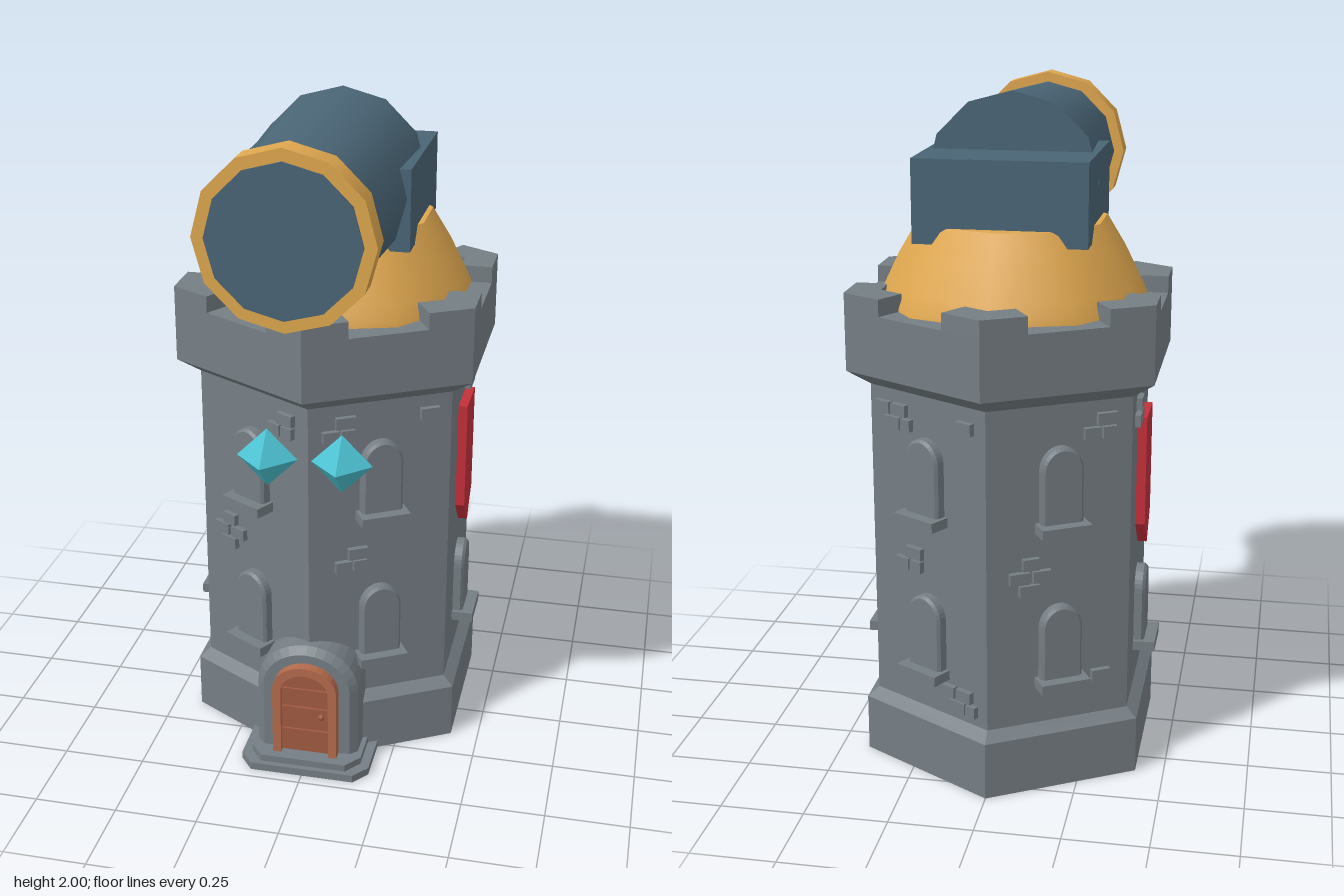
import * as THREE from 'three';

const mat = (name, color) => {
  const m = new THREE.MeshStandardMaterial({ color });
  m.name = name;
  return m;
};

// Faceted normals for hard-edged parts
function flat(geo) {
  const g = geo.index ? geo.toNonIndexed() : geo;
  g.computeVertexNormals();
  return g;
}

// Arch outline: straight sides, elliptical head, standing on y = 0
function arch(half, top, rise, Type = THREE.Shape, base = 0) {
  const s = new Type();
  s.moveTo(-half, base);
  s.lineTo(half, base);
  s.lineTo(half, top - rise);
  s.absellipse(0, top - rise, half, rise, 0, Math.PI, false, 0);
  s.lineTo(-half, base);
  return s;
}

export function createModel() {
  const stone = mat('stone', 0x757e84);
  const gold = mat('gold', 0xdfa74f);
  const steel = mat('steel blue', 0x4a6576);
  const red = mat('banner red', 0xc42f3a);
  const crystal = mat('crystal cyan', 0x4cc2d2);
  const wood = mat('door wood', 0xa05a42);
  const trim = mat('door trim', 0xb36a4c);

  const model = new THREE.Group();
  model.name = 'observatoryTower';
  const tower = new THREE.Group();
  tower.name = 'tower';
  tower.position.z = -0.097;
  model.add(tower);

  function add(parent, name, geo, material, x = 0, y = 0, z = 0) {
    const m = new THREE.Mesh(geo, material);
    m.name = name;
    m.position.set(x, y, z);
    parent.add(m);
    return m;
  }
  const box = (w, h, d) => new THREE.BoxGeometry(w, h, d);
  const extrude = (shape, depth, bevel = 0) => new THREE.ExtrudeGeometry(shape, {
    depth: depth - bevel, curveSegments: 8, bevelEnabled: bevel > 0,
    bevelSize: bevel, bevelThickness: bevel, bevelOffset: -bevel, bevelSegments: 1,
  });
  const points = (list) => list.map(([x, y]) => new THREE.Vector2(x, y));

  // Hexagonal walls with plinth and flared parapet
  add(tower, 'walls', flat(new THREE.LatheGeometry(points([
    [0, 0], [0.479, 0], [0.479, 0.175], [0.442, 0.203], [0.442, 1.175],
    [0.514, 1.22], [0.514, 1.4], [0, 1.4],
  ]), 6)), stone);

  // Corner battlements
  const merlon = extrude(new THREE.Shape(points([
    [0, 0.514], [-0.119, 0.4453], [-0.071, 0.363], [0, 0.404], [0.071, 0.363], [0.119, 0.4453],
  ])), 0.05);
  merlon.rotateX(-Math.PI / 2);
  for (let i = 0; i < 6; i++) {
    add(tower, 'battlement', merlon, stone, 0, 1.4, 0).rotation.y = i * Math.PI / 3;
  }

  // Ten-sided dome
  add(tower, 'dome', new THREE.LatheGeometry(points([
    [0.403, 1.38], [0.4, 1.41], [0.378, 1.455], [0.334, 1.545], [0.278, 1.638],
  ]), 10), gold);
  add(tower, 'domeTop', new THREE.CylinderGeometry(0.278, 0.278, 0.004, 10), gold, 0, 1.636, 0);

  // Windows
  const frameShape = arch(0.063, 0.235, 0.07);
  frameShape.holes.push(arch(0.042, 0.21, 0.05, THREE.Path, 0.005));
  const frameGeo = extrude(frameShape, 0.032, 0.008);
  const glassGeo = extrude(arch(0.045, 0.213, 0.05), 0.006);
  function addWindow(face, y) {
    const w = new THREE.Group();
    w.name = 'window';
    w.position.y = y;
    face.add(w);
    add(w, 'windowFrame', frameGeo, stone);
    add(w, 'windowGlass', glassGeo, steel);
    add(w, 'windowSill', box(0.15, 0.03, 0.066), stone, 0, -0.005, 0.033);
  }

  // Raised bricks: offsets and widths for each cluster type
  const clusters = {
    one: [[0, 0, 0.058]],
    three: [[0.02, 0.022, 0.06], [-0.025, -0.018, 0.05], [0.027, -0.018, 0.042]],
    four: [[-0.035, 0.02, 0.06], [0.03, 0.02, 0.055], [0.005, -0.02, 0.06], [0.058, -0.02, 0.035]],
    five: [[0, 0.04, 0.05], [-0.034, 0, 0.06], [0.034, 0, 0.055], [-0.005, -0.04, 0.06]],
  };
  function addBricks(face, type, u, y) {
    for (const [dx, dy, w] of clusters[type]) {
      add(face, 'brick', box(w, 0.035, 0.03), stone, u + dx, y + dy, 0.002);
    }
  }

  const bannerGeo = extrude(new THREE.Shape(points([
    [-0.08, 1.07], [-0.08, 0.735], [0, 0.65], [0.08, 0.735], [0.08, 1.07],
  ])), 0.028);

  // Six wall faces: angle and brick clusters
  const faces = [
    [30, ['three', -0.09, 0.67], ['three', -0.13, 1.1], ['one', 0.15, 1.12]],
    [90, ['three', 0.11, 1.1]],
    [150, ['four', -0.13, 1.1], ['one', 0.15, 1.115], ['three', -0.07, 0.67], ['four', 0.11, 0.27]],
    [-150, ['five', -0.09, 0.67], ['three', 0.12, 1.1], ['one', 0.13, 0.33]],
    [-90, ['three', -0.11, 1.1]],
    [-30, ['five', -0.1, 0.68], ['three', 0.12, 1.1]],
  ];
  for (const [deg, ...bricks] of faces) {
    const a = deg * Math.PI / 180;
    const face = new THREE.Group();
    face.name = 'wallFace';
    face.rotation.y = a;
    face.position.set(Math.sin(a) * 0.383, 0, Math.cos(a) * 0.383);
    tower.add(face);
    addWindow(face, 0.34);
    if (Math.abs(deg) === 90) add(face, 'banner', bannerGeo, red);
    else addWindow(face, 0.82);
    for (const b of bricks) addBricks(face, ...b);
  }

  // Doorway on the front corner
  const door = new THREE.Group();
  door.name = 'doorway';
  tower.add(door);
  add(door, 'doorSurround', extrude(arch(0.157, 0.405, 0.14), 0.235, 0.022), stone, 0, 0, 0.25);
  const trimShape = arch(0.1, 0.355, 0.085);
  trimShape.holes.push(arch(0.074, 0.328, 0.062, THREE.Path, 0.01));
  add(door, 'doorTrim', extrude(trimShape, 0.04), trim, 0, 0, 0.477);
  add(door, 'doorPanel', extrude(arch(0.076, 0.33, 0.063), 0.02), wood, 0, 0, 0.477);
  for (const y of [0.12, 0.2, 0.265]) {
    add(door, 'doorBand', box(0.146, 0.014, 0.008), wood, 0, y, 0.5);
  }
  add(door, 'doorKnob', new THREE.SphereGeometry(0.01, 8, 6), wood, 0.05, 0.18, 0.503);

  // Doorstep with chamfered front corners
  const step = (half, front) => new THREE.Shape(points([
    [-half, -0.3], [-half, -front + 0.05], [-half + 0.04, -front],
    [half - 0.04, -front], [half, -front + 0.05], [half, -0.3],
  ]));
  [[0.2, 0.562, 0, 0.024], [0.172, 0.545, 0.024, 0.022]].forEach(([half, front, y, h]) => {
    const g = extrude(step(half, front), h);
    g.rotateX(-Math.PI / 2);
    add(door, 'doorstep', g, stone, 0, y, 0);
  });

  // Telescope: cradle, tapered barrel, rim and lens
  add(model, 'cradle', box(0.5, 0.24, 0.46), steel, 0, 1.712, -0.097);
  const scope = new THREE.Group();
  scope.name = 'telescope';
  scope.position.y = 1.747;
  model.add(scope);
  const tube = (rFront, rBack, z0, z1) => {
    const g = new THREE.CylinderGeometry(rFront, rBack, z1 - z0, 12);
    g.rotateX(Math.PI / 2);
    g.translate(0, 0, (z0 + z1) / 2);
    return g;
  };
  add(scope, 'barrel', tube(0.217, 0.254, -0.125, 0.53), steel);
  add(scope, 'rim', tube(0.248, 0.248, 0.525, 0.602), gold);
  add(scope, 'lens', tube(0.213, 0.213, 0.6, 0.607), steel);

  // Floating crystals
  for (const side of [-1, 1]) {
    add(model, 'crystal', new THREE.OctahedronGeometry(0.09), crystal, side * 0.11, 1.035, 0.39);
  }
  return model;
}
